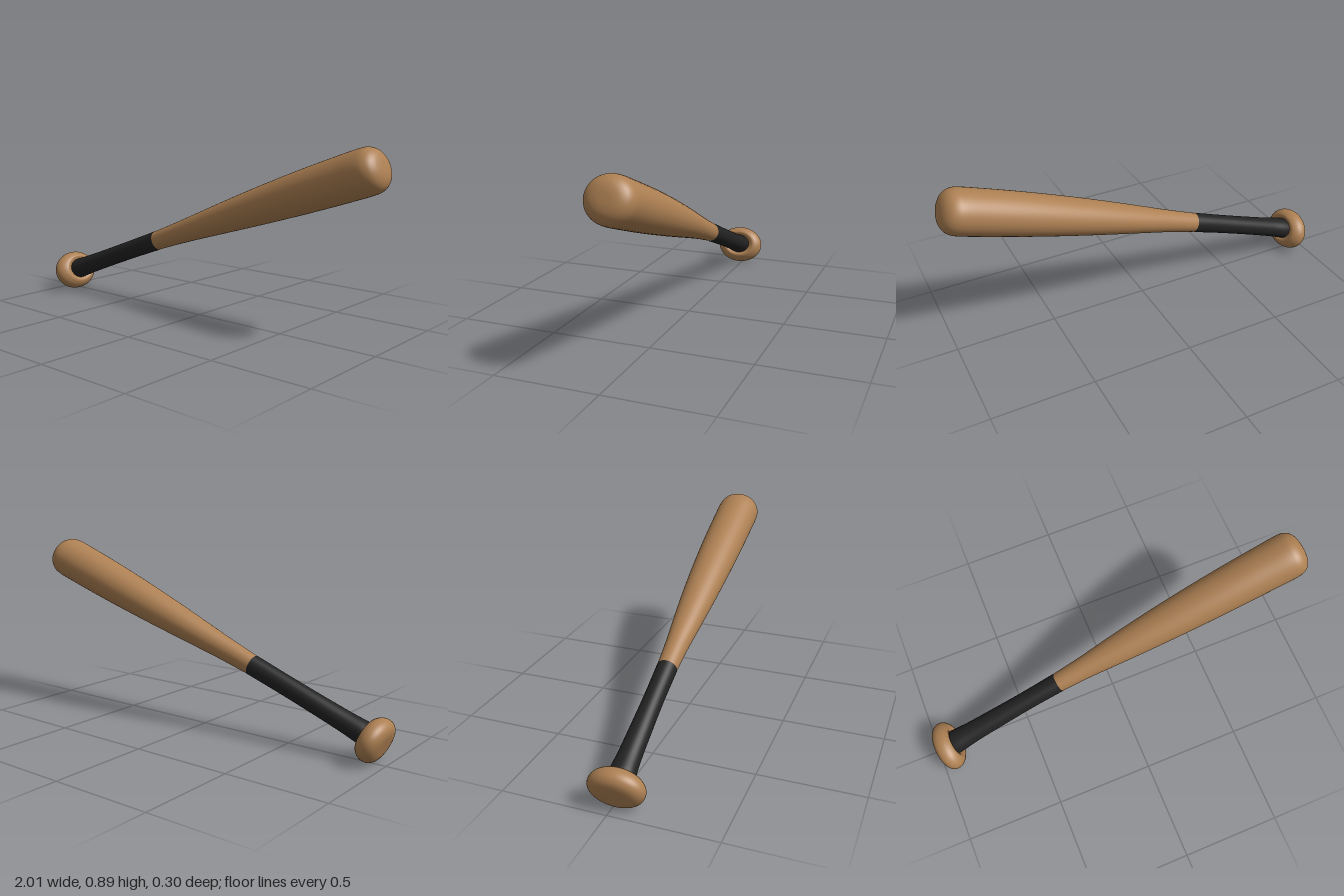
import * as THREE from 'three';

const SIDES = 48;

// Slanted centre line with a very slight bow
const start = new THREE.Vector3(-0.985, 0.085, 0.02);
const end = new THREE.Vector3(0.99, 0.815, -0.04);
const length = start.distanceTo(end);
const along = end.clone().sub(start).normalize();
const side = new THREE.Vector3().crossVectors(along, new THREE.Vector3(0, 1, 0)).normalize();
const up = new THREE.Vector3().crossVectors(side, along);

function centreAt(s) {
  const bow = Math.sin(Math.PI * Math.min(1, Math.max(0, s / length)));
  return start.clone().addScaledVector(along, s)
    .addScaledVector(up, 0.011 * bow).addScaledVector(side, -0.008 * bow);
}

// Smooth oval loft; each row is [distance along, radius up, radius sideways]
function loft(rows, steps) {
  const curve = new THREE.CatmullRomCurve3(rows.map((r) => new THREE.Vector3(...r)));
  const positions = [], index = [];
  for (let i = 0; i <= steps; i++) {
    const row = curve.getPoint(i / steps);
    const centre = centreAt(row.x);
    for (let j = 0; j < SIDES; j++) {
      const a = (j / SIDES) * Math.PI * 2;
      const p = centre.clone()
        .addScaledVector(up, Math.max(row.y, 0.0003) * Math.cos(a))
        .addScaledVector(side, Math.max(row.z, 0.0003) * Math.sin(a));
      positions.push(p.x, p.y, p.z);
      if (i < steps) {
        const k = (j + 1) % SIDES, b = i * SIDES;
        index.push(b + j, b + k, b + SIDES + j, b + k, b + SIDES + k, b + SIDES + j);
      }
    }
  }
  const geometry = new THREE.BufferGeometry();
  geometry.setAttribute('position', new THREE.Float32BufferAttribute(positions, 3));
  geometry.setIndex(index);
  geometry.computeVertexNormals();
  return geometry;
}

export function createModel() {
  const wood = new THREE.MeshStandardMaterial({ color: 0xad8053 });
  wood.name = 'wood';
  const wrap = new THREE.MeshStandardMaterial({ color: 0x222222 });
  wrap.name = 'black grip wrap';

  const group = new THREE.Group();
  group.name = 'bat';
  function add(name, geometry, material) {
    const mesh = new THREE.Mesh(geometry, material);
    mesh.name = name;
    group.add(mesh);
  }

  // Wide oval knob with a flat butt and a shallow dimple around the grip
  const knob = [
    [0, 0], [0, 0.3], [0.002, 0.58], [0.012, 0.82], [0.03, 0.96], [0.05, 1],
    [0.072, 0.96], [0.092, 0.83], [0.102, 0.68], [0.097, 0.55], [0.088, 0.4], [0.086, 0],
  ].map(([s, r]) => [s, r * 0.104, r * 0.131]);
  add('knob', loft(knob, 55), wood);

  // Dark grip, flaring a little toward the knob
  add('grip', loft([
    [0.085, 0.053, 0.062], [0.12, 0.053, 0.061], [0.2, 0.05, 0.055],
    [0.35, 0.048, 0.051], [0.55, 0.048, 0.048], [0.741, 0.05, 0.05],
  ], 40), wrap);

  // Barrel swelling to a blunt rounded tip
  add('barrel', loft([
    [0.738, 0.049, 0.049], [0.9, 0.056, 0.058], [1.05, 0.065, 0.071],
    [1.263, 0.079, 0.087], [1.476, 0.091, 0.099], [1.69, 0.1, 0.1075],
    [1.903, 0.105, 0.112], [2.03, 0.105, 0.113], [2.055, 0.101, 0.108],
    [2.078, 0.088, 0.095], [2.095, 0.066, 0.071], [2.104, 0.035, 0.038], [2.106, 0, 0],
  ], 96), wood);

  // Rest on the ground, centred
  const box = new THREE.Box3().setFromObject(group);
  const middle = box.getCenter(new THREE.Vector3());
  group.position.set(-middle.x, -box.min.y, -middle.z);
  return group;
}
